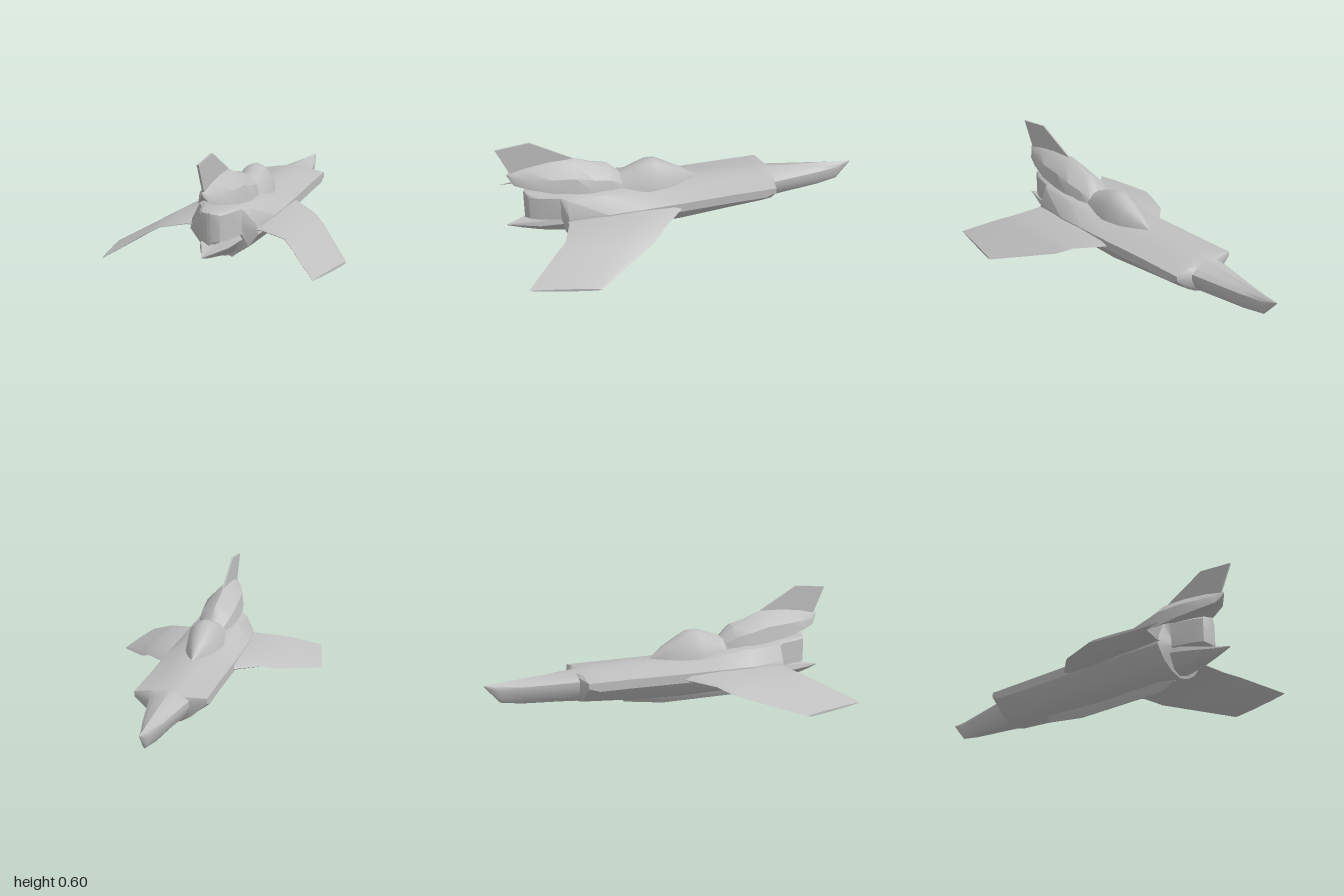
import * as THREE from 'three';
import { toCreasedNormals } from 'three/addons/utils/BufferGeometryUtils.js';

// Skin a list of closed rings of [x, y, z] points, cap both ends, face outwards
function loft(rings, crease = 0.6) {
  const n = rings[0].length, pos = rings.flat(2), idx = [];
  for (let i = 0; i < rings.length - 1; i++) {
    for (let j = 0; j < n; j++) {
      const a = i * n + j, b = i * n + (j + 1) % n;
      idx.push(a, b, a + n, b, b + n, a + n);
    }
  }
  const cap = (ring, start, flip) => {
    const c = pos.length / 3;
    for (let k = 0; k < 3; k++) pos.push(ring.reduce((s, p) => s + p[k], 0) / n);
    for (let j = 0; j < n; j++) {
      const a = start + j, b = start + (j + 1) % n;
      idx.push(c, flip ? b : a, flip ? a : b);
    }
  };
  cap(rings[0], 0, true);
  cap(rings[rings.length - 1], (rings.length - 1) * n, false);

  // the signed volume tells whether the winding must be turned round
  const at = i => new THREE.Vector3().fromArray(pos, i * 3);
  let volume = 0;
  for (let i = 0; i < idx.length; i += 3) {
    volume += at(idx[i]).dot(at(idx[i + 1]).cross(at(idx[i + 2])));
  }
  if (volume < 0) idx.reverse();
  const g = new THREE.BufferGeometry();
  g.setAttribute('position', new THREE.Float32BufferAttribute(pos, 3));
  g.setIndex(idx);
  return toCreasedNormals(g, crease);
}

// Mirror a half outline (top centre to bottom centre) into a full ring at z
function mirrorRing(z, half) {
  const right = half.slice(1, -1).reverse().map(([x, y]) => [-x, y]);
  return [...half, ...right].map(([x, y]) => [x, y, z]);
}

export function createModel() {
  const group = new THREE.Group();
  const grey = new THREE.MeshStandardMaterial({ color: 0xbfbfbf });
  grey.name = 'hullGrey';
  const add = (name, geometry) => {
    const mesh = new THREE.Mesh(geometry, grey);
    mesh.name = name;
    group.add(mesh);
  };

  // Fuselage: pointed nose, wide side pods, wedge-shaped rear
  const nose = [[-1, 0.222, 0.002, 0.216], [-0.92, 0.228, 0.02, 0.12],
    [-0.8, 0.237, 0.05, 0.1], [-0.51, 0.256, 0.105, 0.08]].map(([z, t, w, b]) => {
    const p = [[0, 0], [0.3, 0.05], [0.7, 0.12], [1, 0.24], [1, 0.42], [0.75, 0.75], [0.4, 0.93], [0, 1]];
    return mirrorRing(z, p.map(([x, f]) => [x * w, t - f * (t - b)]));
  });
  const middle = [
    [-0.49, [[0, 0.257], [0.05, 0.252], [0.1, 0.245], [0.195, 0.228], [0.195, 0.2], [0.11, 0.12], [0.06, 0.09], [0, 0.08]]],
    [-0.43, [[0, 0.26], [0.05, 0.255], [0.1, 0.246], [0.195, 0.227], [0.195, 0.178], [0.115, 0.115], [0.06, 0.085], [0, 0.076]]],
    [-0.23, [[0, 0.268], [0.05, 0.262], [0.1, 0.25], [0.195, 0.225], [0.195, 0.175], [0.13, 0.11], [0.07, 0.072], [0, 0.062]]],
    [0.05, [[0, 0.27], [0.06, 0.265], [0.11, 0.25], [0.2, 0.22], [0.2, 0.17], [0.15, 0.1], [0.08, 0.06], [0, 0.045]]],
    [0.25, [[0, 0.28], [0.08, 0.275], [0.12, 0.26], [0.2, 0.217], [0.2, 0.167], [0.145, 0.1], [0.08, 0.06], [0, 0.04]]],
    [0.45, [[0, 0.32], [0.09, 0.312], [0.135, 0.298], [0.2, 0.215], [0.2, 0.165], [0.14, 0.1], [0.08, 0.06], [0, 0.04]]],
    [0.66, [[0, 0.318], [0.1, 0.312], [0.13, 0.298], [0.17, 0.22], [0.18, 0.168], [0.13, 0.1], [0.07, 0.06], [0, 0.04]]],
  ].map(([z, half]) => mirrorRing(z, half));
  const rear = [[0.69, 0.105], [0.8, 0.075], [0.85, 0.05], [0.87, 0.008]].map(([z, w]) =>
    mirrorRing(z, [[0, 0.317], [w * 0.8, 0.312], [w, 0.3], [w, 0.22], [w, 0.19], [w, 0.17], [w * 0.5, 0.157], [0, 0.152]]));
  add('fuselage', loft([...nose, ...middle, ...rear]));

  // Lower tail fairing below the wedge
  add('lowerTail', loft([[0.6, 0.18, 0.12, 0.045], [0.7, 0.175, 0.1, 0.055], [0.8, 0.15, 0.075, 0.075],
    [0.9, 0.133, 0.03, 0.097], [0.97, 0.122, 0.002, 0.118]].map(([z, t, w, b]) =>
    mirrorRing(z, [[0, t - 0.2 * (t - b)], [w * 0.9, t], [w, t - 0.3 * (t - b)], [w * 0.5, b + 0.15 * (t - b)], [0, b]]))));

  // Keel: a narrow V-shaped blade under the belly
  add('keel', loft([[-0.23, 0.04], [0, 0.005], [0.54, 0], [0.63, 0.038]].map(([z, b]) =>
    mirrorRing(z, [[0, 0.075], [0.035, 0.07], [0.012, b + 0.015], [0.003, b], [0, b]]))));

  // Canopy
  add('canopy', loft([[-0.08, 0.27, 0.008], [0, 0.33, 0.055], [0.08, 0.373, 0.085], [0.15, 0.41, 0.1], [0.2, 0.41, 0.107],
    [0.27, 0.385, 0.1], [0.37, 0.345, 0.09]].map(([z, t, w]) =>
    mirrorRing(z, [[0, t], [w * 0.4, t - 0.08 * (t - 0.24)], [w * 0.78, t - 0.35 * (t - 0.24)], [w, 0.25], [0, 0.24]])), 0.8));

  // Dorsal engine housing with an arched underside
  add('dorsalHousing', loft([[0.34, 0.35, 0.075, 0.28], [0.41, 0.42, 0.1, 0.29], [0.5, 0.44, 0.108, 0.305], [0.6, 0.478, 0.108, 0.315],
    [0.73, 0.473, 0.095, 0.332], [0.85, 0.457, 0.06, 0.355], [0.92, 0.44, 0.03, 0.373], [0.95, 0.435, 0.003, 0.42]].map(([z, t, w, b]) => {
    const h = t - b;
    return mirrorRing(z, [[0, t], [w * 0.3, t - 0.1 * h], [w * 0.87, t - 0.48 * h], [w, b], [w * 0.4, b + 0.22 * h], [0, b + 0.27 * h]]);
  })));

  // Tail fin, drawn in z and y
  const finShape = new THREE.Shape([[0.55, 0.44], [0.6, 0.478], [0.82, 0.6], [1, 0.58], [0.935, 0.435], [0.8, 0.42]]
    .map(([z, y]) => new THREE.Vector2(z, y)));
  const fin = new THREE.ExtrudeGeometry(finShape, { depth: 0.01, bevelEnabled: false });
  fin.translate(0, 0, -0.005).rotateY(-Math.PI / 2);
  add('tailFin', fin);

  // Drooping wings: leading x, y, z, trailing x, y, z, thickness
  const sections = [
    [0.15, 0.19, 0, 0.15, 0.19, 0.665, 0.06],
    [0.2, 0.188, 0.05, 0.2, 0.19, 0.665, 0.046],
    [0.33, 0.17, 0.18, 0.33, 0.172, 0.71, 0.034],
    [0.4, 0.136, 0.25, 0.39, 0.143, 0.775, 0.028],
    [0.61, 0.043, 0.58, 0.54, 0.055, 0.94, 0.014],
  ];
  const chord = [[0, 0], [0.06, 0.35], [0.35, 0.5], [0.75, 0.35], [1, 0.04], [1, -0.04], [0.75, -0.35], [0.35, -0.5], [0.06, -0.35]];
  for (const [name, side] of [['leftWing', 1], ['rightWing', -1]]) {
    add(name, loft(sections.map(([lx, ly, lz, tx, ty, tz, thick]) => chord.map(([f, h]) =>
      [side * (lx + (tx - lx) * f), ly + (ty - ly) * f + h * thick, lz + (tz - lz) * f]))));
  }
  return group;
}
